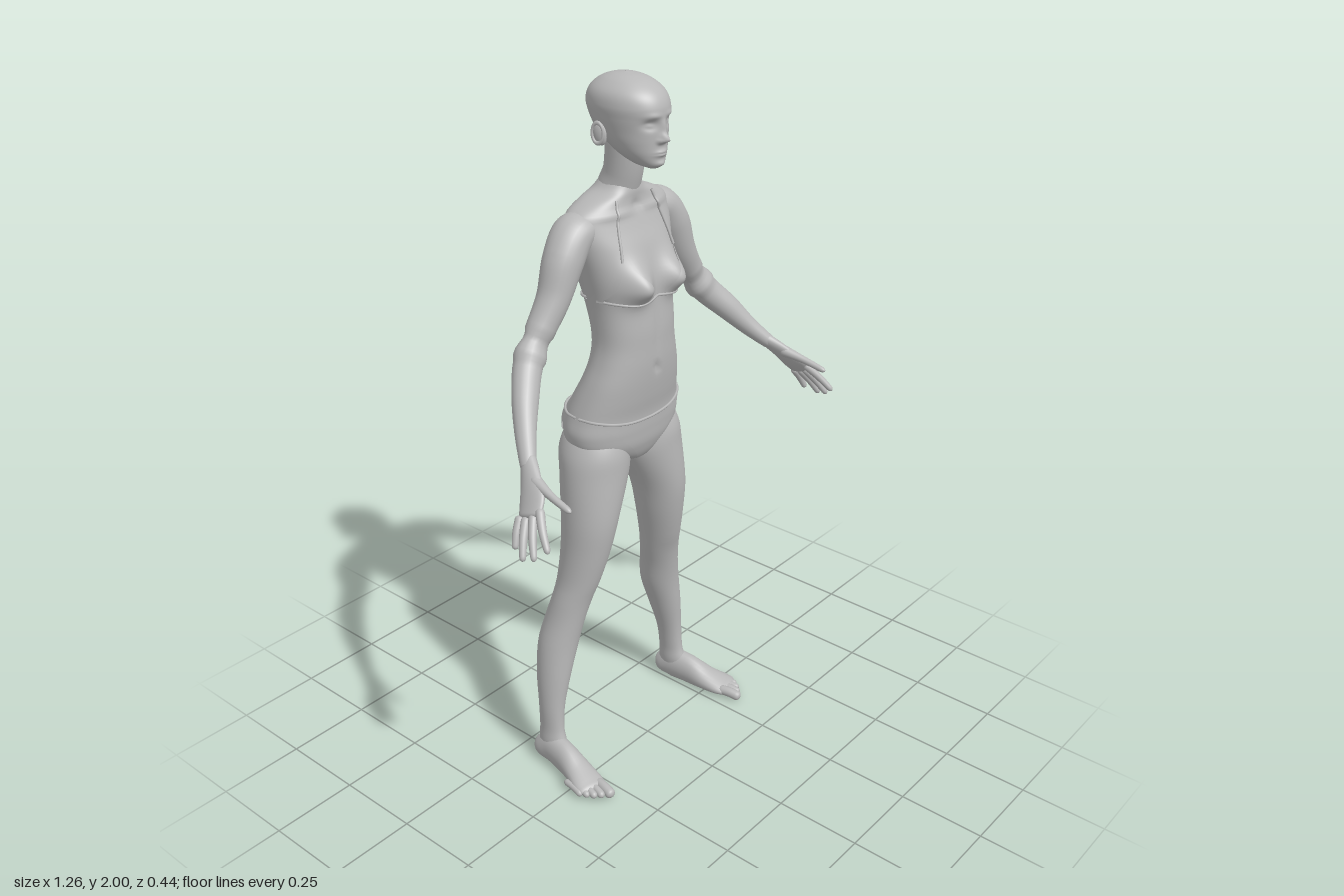
import * as THREE from 'three';

const skin = new THREE.MeshStandardMaterial({ color: 0xb8b8b8, side: THREE.DoubleSide });
const V = (x, y, z) => new THREE.Vector3(x, y, z);

// Smooth grid surface from point(i, j); j wraps round when closed
function grid(name, rows, cols, closed, point) {
  const pos = [], idx = [], n = closed ? cols : cols + 1;
  for (let i = 0; i <= rows; i++) for (let j = 0; j < n; j++) pos.push(...point(i / rows, j / cols));
  for (let i = 0; i < rows; i++) for (let j = 0; j < cols; j++) {
    const k = (j + 1) % n, a = i * n + j, b = i * n + k, c = a + n, d = b + n;
    idx.push(a, b, c, b, d, c);
  }
  const g = new THREE.BufferGeometry();
  g.setAttribute('position', new THREE.Float32BufferAttribute(pos, 3));
  g.setIndex(idx);
  g.computeVertexNormals();
  const mesh = new THREE.Mesh(g, skin);
  mesh.name = name;
  return mesh;
}

// Cubic interpolation of rows keyed by height: [y, centre x, half width, z front, z back]
function at(rows, y) {
  let k = 0;
  while (k < rows.length - 2 && y > rows[k + 1][0]) k++;
  const a = rows[k], b = rows[k + 1], p = rows[k - 1] || a, q = rows[k + 2] || b;
  const h = b[0] - a[0], t = THREE.MathUtils.clamp((y - a[0]) / h, 0, 1), t2 = t * t, t3 = t2 * t;
  return a.map((v, c) => {
    const m0 = (b[c] - p[c]) / (b[0] - p[0]) * h, m1 = (q[c] - v) / (q[0] - a[0]) * h;
    return v * (2 * t3 - 3 * t2 + 1) + m0 * (t3 - 2 * t2 + t) + b[c] * (3 * t2 - 2 * t3) + m1 * (t3 - t2);
  });
}

// Sum of soft bumps [x, y, spread x, spread below, spread above, height], mirrored in x
const bump = (list, x, y) => list.reduce((s, [bx, by, sx, lo, hi, h]) => {
  const u = (Math.abs(x) - bx) / sx, v = (y - by) / (y < by ? lo : hi);
  return s + h * Math.exp(-u * u - v * v);
}, 0);

// Upright body made of horizontal rings, with bumps on its front and back
const power = (v, n) => Math.sign(v) * Math.abs(v) ** (2 / n);
function body(name, rows, rings, sides, n = 2, front = [], back = []) {
  const y0 = rows[0][0], y1 = rows[rows.length - 1][0];
  return grid(name, rings, sides, true, (u, v) => {
    const y = y0 + (y1 - y0) * (1 - Math.cos(Math.PI * u)) / 2, a = -v * Math.PI * 2;
    const [, cx, w, zf, zb] = at(rows, y), s = Math.sin(a);
    const x = cx + Math.max(w, 0.001) * power(Math.cos(a), n);
    const z = (zf + zb) / 2 + (zf - zb) / 2 * power(s, n);
    return [x, y, z + Math.sign(s) * Math.sqrt(Math.abs(s)) * bump(s > 0 ? front : back, x, y)];
  });
}

// Limb along a path of [x, y, z, radius along ref, other radius], with rounded ends
function limb(name, pts, ref, round = 0.08, floor = -1, seg = 40) {
  const path = new THREE.CatmullRomCurve3(pts.map(p => V(p[0], p[1], p[2])));
  const size = new THREE.CatmullRomCurve3(pts.map(p => V(p[3], p[4] ?? p[3], 0)));
  return grid(name, seg, 24, true, (u, v) => {
    const t = (1 - Math.cos(Math.PI * u)) / 2, e = Math.min(1, Math.min(t, 1 - t) / round);
    const k = Math.max(0.01, Math.sqrt(1 - (1 - e) ** 2));
    const T = path.getTangent(t), S = ref.clone().addScaledVector(T, -ref.dot(T)).normalize();
    const B = T.clone().cross(S), r = size.getPoint(t), a = v * Math.PI * 2;
    const p = path.getPoint(t).addScaledVector(S, r.x * k * Math.cos(a)).addScaledVector(B, r.y * k * Math.sin(a));
    return [p.x, Math.max(p.y, floor), p.z];
  });
}

const TORSO = [
  [0.93, 0, 0.02, -0.06, -0.12], [0.95, 0, 0.07, -0.025, -0.165], [1.0, 0, 0.17, 0, -0.195],
  [1.05, 0, 0.192, 0.008, -0.2], [1.1, 0, 0.183, 0.012, -0.197], [1.15, 0, 0.17, 0.022, -0.18],
  [1.2, 0, 0.155, 0.03, -0.157], [1.25, 0, 0.138, 0.035, -0.142], [1.3, 0, 0.126, 0.036, -0.138],
  [1.35, 0, 0.124, 0.036, -0.145], [1.42, 0, 0.128, 0.03, -0.165], [1.5, 0, 0.143, 0.02, -0.185],
  [1.57, 0, 0.16, 0.002, -0.192], [1.62, 0, 0.172, -0.02, -0.19], [1.66, 0, 0.165, -0.036, -0.18],
  [1.685, 0, 0.12, -0.04, -0.17], [1.705, 0, 0.07, -0.04, -0.16], [1.73, 0, 0.045, -0.045, -0.145],
];
const CHEST = [
  [0.07, 1.475, 0.043, 0.04, 0.055, 0.05], [0, 1.235, 0.008, 0.012, 0.01, -0.009],
  [0, 1.35, 0.012, 0.08, 0.08, -0.004], [0.08, 1.655, 0.06, 0.008, 0.01, 0.006], [0, 1.665, 0.014, 0.012, 0.015, -0.008],
];
const BACK = [
  [0.092, 1.055, 0.06, 0.06, 0.06, 0.026], [0, 1.02, 0.014, 0.07, 0.06, -0.03],
  [0, 1.4, 0.017, 0.2, 0.2, -0.013], [0.08, 1.56, 0.035, 0.06, 0.05, 0.01],
];
const LEG = [
  [0.05, 0.277, 0.028, -0.09, -0.18], [0.08, 0.276, 0.03, -0.085, -0.18], [0.12, 0.274, 0.028, -0.095, -0.178],
  [0.2, 0.268, 0.034, -0.098, -0.182], [0.3, 0.25, 0.047, -0.092, -0.198], [0.4, 0.226, 0.058, -0.085, -0.205],
  [0.48, 0.207, 0.056, -0.073, -0.192], [0.55, 0.19, 0.058, -0.058, -0.176], [0.6, 0.178, 0.058, -0.042, -0.17],
  [0.7, 0.16, 0.066, -0.018, -0.167], [0.8, 0.145, 0.077, -0.003, -0.172], [0.94, 0.112, 0.1, -0.002, -0.192],
  [1.0, 0.107, 0.094, -0.006, -0.2], [1.06, 0.095, 0.075, -0.03, -0.18], [1.1, 0.09, 0.03, -0.07, -0.13],
];
const HEAD = [
  [1.775, 0, 0.015, 0.03, 0.0], [1.785, 0, 0.034, 0.041, -0.04], [1.81, 0, 0.056, 0.045, -0.09],
  [1.84, 0, 0.07, 0.046, -0.13], [1.87, 0, 0.078, 0.047, -0.158], [1.9, 0, 0.084, 0.05, -0.174],
  [1.93, 0, 0.087, 0.05, -0.181], [1.96, 0, 0.079, 0.034, -0.17], [1.983, 0, 0.056, 0.002, -0.143],
  [1.995, 0, 0.031, -0.034, -0.11], [2.0, 0, 0.002, -0.07, -0.074],
];
const FACE = [
  [0, 1.85, 0.011, 0.008, 0.016, 0.024], [0, 1.88, 0.009, 0.02, 0.02, 0.008], [0.012, 1.846, 0.006, 0.006, 0.006, 0.006],
  [0.034, 1.889, 0.017, 0.012, 0.011, -0.013], [0.034, 1.887, 0.011, 0.006, 0.006, 0.006],
  [0.03, 1.91, 0.022, 0.007, 0.008, 0.004], [0, 1.815, 0.02, 0.008, 0.008, 0.008],
  [0, 1.815, 0.018, 0.002, 0.002, -0.005], [0, 1.788, 0.018, 0.01, 0.008, 0.006],
];

// Depth of the body surface at (x, y) on the front (side 1) or back (side -1)
function depth(x, y, side) {
  const one = (rows, n) => {
    const [, cx, w, zf, zb] = at(rows, y), r = Math.min(1, Math.abs((Math.abs(x) - cx) / w));
    return side * (zf + zb) / 2 + (zf - zb) / 2 * (1 - r ** n) ** (1 / n);
  };
  const t = one(TORSO, 2.3) + bump(side > 0 ? CHEST : BACK, x, y);
  return side * ((y < 1.06 ? Math.max(t, one(LEG, 2)) : t) + 0.004);
}
// Thin cloth between two edges, draped on the body
const cloth = (name, side, edge) => grid(name, 24, 30, false, (u, v) => {
  const [x, y] = edge(u, v);
  return [x, y, depth(x, y, side)];
});
// Thin cord draped through [x, y] points
function cord(name, side, pts) {
  const flat = new THREE.CatmullRomCurve3(pts.map(p => V(p[0], p[1], 0))).getPoints(24);
  const path = new THREE.CatmullRomCurve3(flat.map(p => V(p.x, p.y, depth(p.x, p.y, side))));
  const mesh = new THREE.Mesh(new THREE.TubeGeometry(path, 40, 0.004, 6), skin);
  mesh.name = name;
  return mesh;
}

// Everything that comes in pairs, on the +x side
function leftSide() {
  const g = new THREE.Group();
  const X = V(1, 0, 0), Z = V(0, 0, 1);
  g.add(body('leg', LEG, 70, 48));
  g.add(limb('foot', [
    [0.276, 0.032, -0.19, 0.024, 0.026], [0.278, 0.04, -0.165, 0.033, 0.038], [0.28, 0.05, -0.125, 0.034, 0.052],
    [0.288, 0.045, -0.07, 0.035, 0.05], [0.299, 0.033, -0.01, 0.042, 0.034], [0.312, 0.025, 0.04, 0.047, 0.022],
    [0.32, 0.022, 0.075, 0.04, 0.012]], X, 0.08, 0.004));
  [[0.288, 0.302, 0.124, 0.015], [0.307, 0.322, 0.107, 0.011], [0.323, 0.337, 0.092, 0.0105],
    [0.336, 0.348, 0.074, 0.01], [0.346, 0.357, 0.055, 0.01]].forEach(([x0, x1, z, r]) =>
    g.add(limb('toe', [[x0, 0.024, z - 0.075, r], [(x0 + x1) / 2, 0.025, z - 0.035, r], [x1, 0.019, z, r]], X, 0.15, 0.004, 16)));
  g.add(limb('arm', [
    [0.1, 1.635, -0.11, 0.05, 0.035], [0.165, 1.613, -0.108, 0.058, 0.052], [0.208, 1.56, -0.102, 0.054, 0.054],
    [0.25, 1.47, -0.1, 0.045, 0.044], [0.303, 1.39, -0.103, 0.038, 0.04], [0.352, 1.327, -0.095, 0.038, 0.04],
    [0.41, 1.26, -0.052, 0.034, 0.036], [0.455, 1.2, -0.01, 0.028, 0.027], [0.495, 1.15, 0.035, 0.022, 0.02],
    [0.505, 1.138, 0.046, 0.02, 0.016]], Z, 0.04, -1, 80));
  g.add(limb('palm', [
    [0.485, 1.162, 0.025, 0.02, 0.018], [0.515, 1.125, 0.063, 0.03, 0.016], [0.545, 1.085, 0.096, 0.04, 0.014],
    [0.573, 1.052, 0.112, 0.036, 0.011]], V(-0.2, 0.5, 0.85)));
  [[[0.555, 1.08, 0.13], [0.602, 1.0, 0.2]], [[0.565, 1.064, 0.118], [0.62, 0.975, 0.17]],
    [[0.572, 1.053, 0.1], [0.627, 0.966, 0.138]], [[0.572, 1.048, 0.08], [0.612, 0.978, 0.098]],
    [[0.515, 1.125, 0.07], [0.535, 1.09, 0.215]]].forEach(([a, b], i) => {
    const mid = a.map((v, k) => (v + b[k]) / 2 + (k === 0 ? 0.004 : 0));
    const ref = i < 4 ? Z : X;
    g.add(limb(i < 4 ? 'finger' : 'thumb', [[...a, i < 4 ? 0.012 : 0.018], [...mid, 0.0105], [...b, 0.008]], ref, 0.1, -1, 18));
  });
  // Ear: rim and lobe
  const ear = new THREE.Mesh(new THREE.SphereGeometry(1, 20, 14), skin);
  ear.name = 'ear';
  ear.scale.set(0.009, 0.03, 0.018);
  ear.position.set(0.083, 1.858, -0.086);
  ear.rotation.set(-0.2, -0.3, -0.1);
  const rim = new THREE.Mesh(new THREE.TorusGeometry(0.017, 0.004, 8, 24), skin);
  rim.name = 'earRim';
  rim.scale.set(0.9, 1.5, 1);
  rim.position.set(0.089, 1.86, -0.088);
  rim.rotation.set(0, Math.PI / 2 - 0.3, 0);
  g.add(ear, rim);
  // Swimwear top: triangular cup with cords
  g.add(cloth('cup', 1, (u, v) => {
    const lo = 0.014 + 0.118 * v;
    return [lo + (0.1 - lo) * u, 1.432 + 0.115 * u];
  }));
  g.add(cord('cupHem', 1, [[0, 1.438], [0.07, 1.43], [0.128, 1.436]]));
  g.add(cord('neckCord', 1, [[0.1, 1.545], [0.088, 1.61], [0.068, 1.69]]));
  g.add(cord('backCord', -1, [[0, 1.425], [0.07, 1.425], [0.128, 1.436]]));
  g.add(cord('hipBandFront', 1, [[0, 1.085], [0.09, 1.09], [0.182, 1.108]]));
  g.add(cord('hipBandBack', -1, [[0, 1.105], [0.09, 1.105], [0.182, 1.108]]));
  return g;
}

export function createModel() {
  const model = new THREE.Group();
  model.name = 'figure';
  model.add(body('torso', TORSO, 100, 96, 2.3, CHEST, BACK));
  model.add(body('head', HEAD, 110, 112, 2.1, FACE));
  model.add(limb('neck', [[0, 1.64, -0.115, 0.07, 0.05], [0, 1.7, -0.1, 0.057, 0.056],
    [0, 1.75, -0.083, 0.05, 0.053], [0, 1.85, -0.07, 0.052, 0.055]], V(1, 0, 0)));
  // Swimwear bottom: narrows from hip band to crotch
  model.add(cloth('briefFront', 1, (u, v) => {
    const w = 0.025 + 0.15 * (1 - u) ** 1.4, x = (2 * v - 1) * w;
    return [x, 1.085 + 0.6 * x * x - 0.135 * u];
  }));
  model.add(cloth('briefBack', -1, (u, v) => {
    const w = 0.025 + 0.15 * (1 - u * u), x = (2 * v - 1) * w;
    return [x, 1.105 - 0.15 * u];
  }));
  const left = leftSide(), right = left.clone();
  left.name = 'leftSide';
  right.name = 'rightSide';
  right.scale.x = -1;
  model.add(left, right);
  return model;
}
